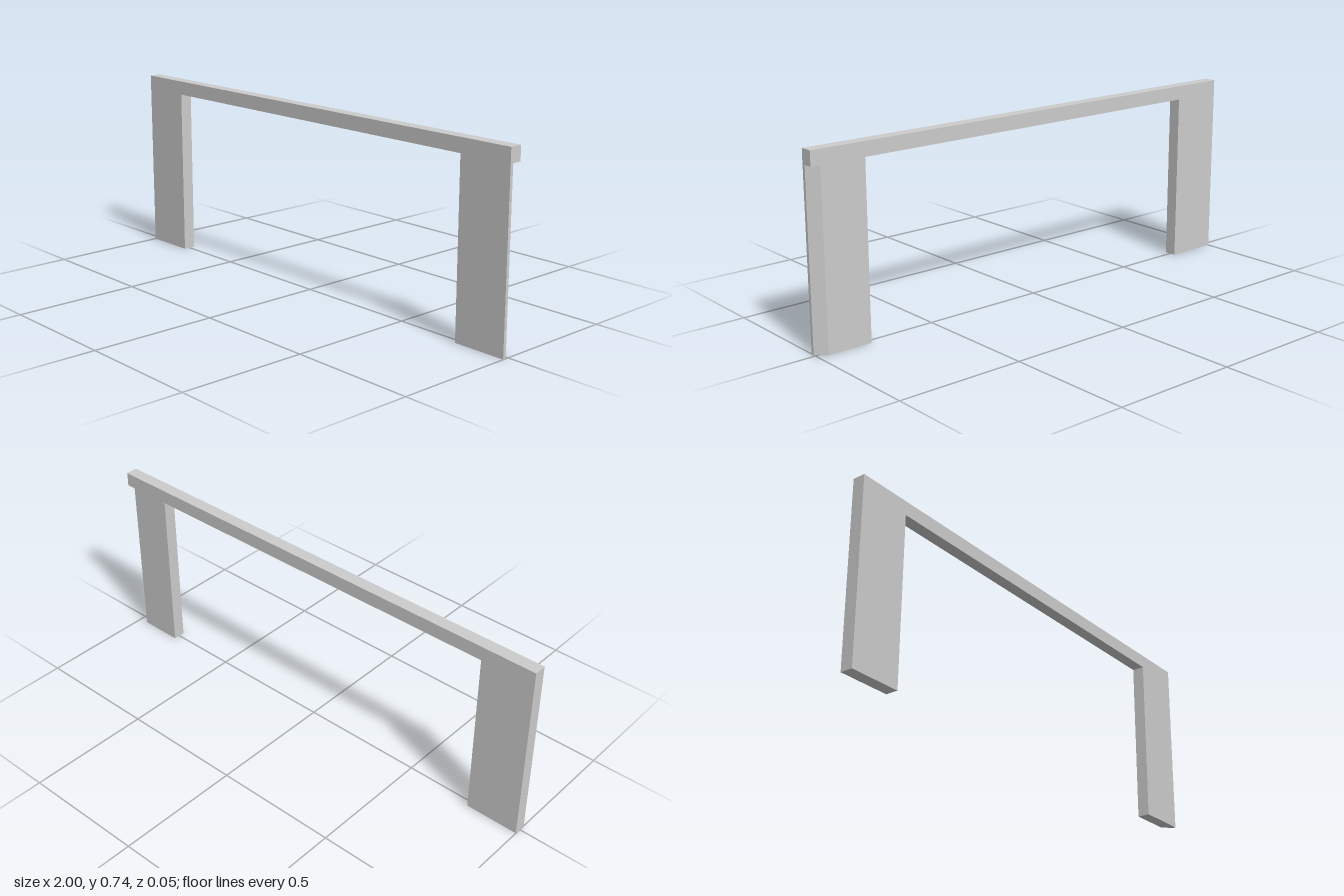
import * as THREE from 'three';

const HEIGHT = 0.735, OPENING = 0.679, INNER = 0.783, HALF_DEPTH = 0.025;

export function createModel() {
  const group = new THREE.Group();
  group.name = 'doorwayFrame';
  const material = new THREE.MeshStandardMaterial({ color: 0xcccccc, flatShading: true });

  const add = (name, geometry) => {
    const mesh = new THREE.Mesh(geometry, material);
    mesh.name = name;
    group.add(mesh);
    return mesh;
  };

  // A post is a floor plan of [x, z] corners raised from the ground to the beam
  const addPost = (name, plan) => {
    const shape = new THREE.Shape(plan.map(([x, z]) => new THREE.Vector2(x, -z)));
    const geometry = new THREE.ExtrudeGeometry(shape, { depth: OPENING, bevelEnabled: false });
    return add(name, geometry.rotateX(-Math.PI / 2));
  };

  // Beam across the full width
  const beam = add('topBeam', new THREE.BoxGeometry(2, HEIGHT - OPENING, 2 * HALF_DEPTH));
  beam.position.y = (HEIGHT + OPENING) / 2;

  // Plain post
  addPost('rightPost', [
    [-1, HALF_DEPTH], [-INNER, HALF_DEPTH], [-INNER, -HALF_DEPTH], [-1, -HALF_DEPTH],
  ]);

  // Post with its outer back corner mitred below the beam
  addPost('leftPost', [
    [INNER, HALF_DEPTH], [1, HALF_DEPTH], [1, 0.012], [0.962, -HALF_DEPTH], [INNER, -HALF_DEPTH],
  ]);

  return group;
}
